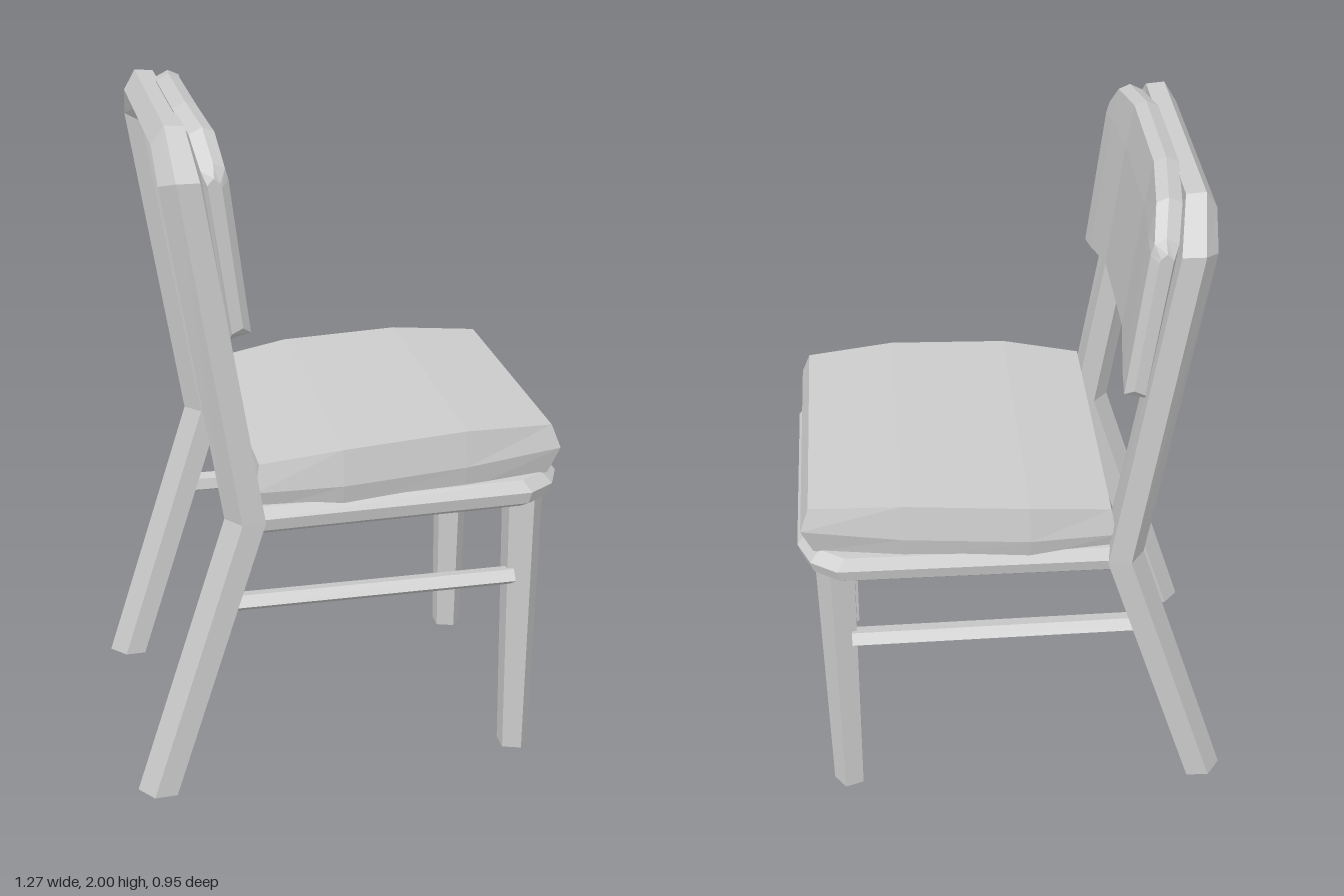
import * as THREE from 'three';

const material = new THREE.MeshStandardMaterial({ color: 0xcccccc, flatShading: true, side: THREE.DoubleSide });

// Skins a list of equal-sized rings of [x, y, z] points and caps both ends.
function loft(name, rings) {
  const n = rings[0].length;
  const tris = [];
  for (let i = 0; i < rings.length - 1; i++) {
    for (let j = 0; j < n; j++) {
      const k = (j + 1) % n;
      const a = rings[i][j], b = rings[i][k], c = rings[i + 1][k], d = rings[i + 1][j];
      tris.push([a, b, c], [a, c, d]);
    }
  }
  // Caps run in strips between opposite points, so a folded end keeps its crease.
  const first = rings[0], last = rings[rings.length - 1];
  for (let j = 0, k = n - 1; j + 1 < k; j++, k--) {
    tris.push([first[j], first[k], first[j + 1]], [last[j], last[j + 1], last[k]]);
    if (j + 1 < k - 1) {
      tris.push([first[j + 1], first[k], first[k - 1]], [last[j + 1], last[k - 1], last[k]]);
    }
  }
  // The signed volume tells whether the faces point outward.
  let volume = 0;
  for (const [a, b, c] of tris) {
    volume += new THREE.Vector3(...a).dot(new THREE.Vector3(...b).cross(new THREE.Vector3(...c)));
  }
  if (volume < 0) tris.forEach((t) => t.reverse());
  const geometry = new THREE.BufferGeometry();
  geometry.setAttribute('position', new THREE.Float32BufferAttribute(tris.flat(2), 3));
  geometry.computeVertexNormals();
  const mesh = new THREE.Mesh(geometry, material);
  mesh.name = name;
  return mesh;
}

// Rear legs, uprights and top rail: one five-sided bar swept in an arch.
function backFrame() {
  // [u outward, v forward]
  const section = [[0.057, -0.012], [0.053, 0.055], [-0.048, 0.055], [-0.05, -0.008], [0, -0.055]];
  // [x, y, z, angle of the outward direction, depth factor]
  const half = [
    [-0.585, 0, 0.42, 0, 1],
    [-0.31, 0.865, 0.42, 0, 1],
    [-0.467, 1.835, 0.42, 0.33, 0.95],
    [-0.481, 1.925, 0.335, 1.25, 0.8],
  ];
  const path = [...half, ...half.slice().reverse().map(([x, y, z, a, d]) => [x, y, -z, Math.PI - a, d])];
  return loft('backFrame', path.map(([x, y, z, a, d]) =>
    section.map(([u, v]) => [x + v * d, y + u * Math.sin(a), z + u * Math.cos(a)])));
}

// Curved back pad, skinned from side to side.
function backPad() {
  // [z, bottom, shoulder, top, forward curve, half thickness]
  const half = [
    [0.462, 1.43, 1.835, 1.86, 0.016, 0.018],
    [0.442, 1.41, 1.85, 1.895, 0.022, 0.034],
    [0.36, 1.427, 1.86, 1.972, 0.016, 0.036],
    [0.18, 1.47, 1.86, 2.0, 0, 0.036],
  ];
  const columns = [...half, ...half.slice().reverse().map(([z, ...rest]) => [-z, ...rest])];
  return loft('backPad', columns.map(([z, bottom, shoulder, top, curve, t]) => {
    const mid = (y) => -0.345 + curve - (y - 1.45) * 0.12;
    return [
      [mid(bottom) - t * 0.7, bottom, z],
      [mid(bottom) + t, bottom + 0.015, z],
      [mid(shoulder) + t, shoulder, z],
      [mid(top) + t * 0.9, top - 0.014, z],
      [mid(top), top, z],
      [mid(top) - t, top - 0.018, z],
      [mid(shoulder) - t, shoulder - 0.01, z],
    ];
  }));
}

// Seat frame with clipped front corners and bevelled rims.
function seatFrame() {
  const side = [[-0.285, 0.468], [0.52, 0.477], [0.595, 0.428], [0.633, 0.34]];
  const outline = [...side, ...side.slice().reverse().map(([x, z]) => [x, -z])];
  const layers = [[0.828, 0.95], [0.842, 0.985], [0.878, 1], [0.91, 0.955]];
  return loft('seatFrame', layers.map(([y, s]) =>
    outline.map(([x, z]) => [x * s, y + 0.02 * x, z * s])));
}

// Domed cushion, skinned from back to front.
function cushion() {
  // [x, bottom, middle, top, half width, end bulge]
  const stations = [
    [-0.265, 0.885, 0.945, 1.025, 0.442, -0.015],
    [-0.03, 0.885, 0.955, 1.06, 0.468, 0],
    [0.33, 0.895, 0.975, 1.08, 0.455, 0],
    [0.592, 0.918, 0.998, 1.066, 0.424, 0.025],
  ];
  return loft('cushion', stations.map(([x, bottom, middle, top, w, bulge]) => [
    [x - 0.3 * bulge, bottom, w - 0.014], [x + bulge, middle, w], [x, top, w - 0.016],
    [x, top, 0.016 - w], [x + bulge, middle, -w], [x - 0.3 * bulge, bottom, 0.014 - w],
  ]));
}

// Tapered five-sided front leg with one edge facing forward.
function frontLeg(side) {
  const ring = (y, x, z, r) => Array.from({ length: 5 }, (_, i) => {
    const a = (i * Math.PI * 2) / 5;
    return [x + r * Math.cos(a), y, side * (z + r * Math.sin(a))];
  });
  return loft(side > 0 ? 'leftFrontLeg' : 'rightFrontLeg', [
    ring(0, 0.523, 0.389, 0.049),
    ring(0.86, 0.522, 0.38, 0.062),
  ]);
}

// Side stretcher between the front and rear legs.
function stretcher(side) {
  const section = [[0.565, 0.415], [0.594, 0.455], [0.622, 0.432], [0.615, 0.395], [0.58, 0.388]];
  return loft(side > 0 ? 'leftStretcher' : 'rightStretcher',
    [-0.385, 0.49].map((x) => section.map(([y, z]) => [x, y, z * side])));
}

export function createModel() {
  const chair = new THREE.Group();
  chair.name = 'chair';
  chair.add(backFrame(), backPad(), seatFrame(), cushion());
  for (const side of [1, -1]) chair.add(frontLeg(side), stretcher(side));
  return chair;
}
